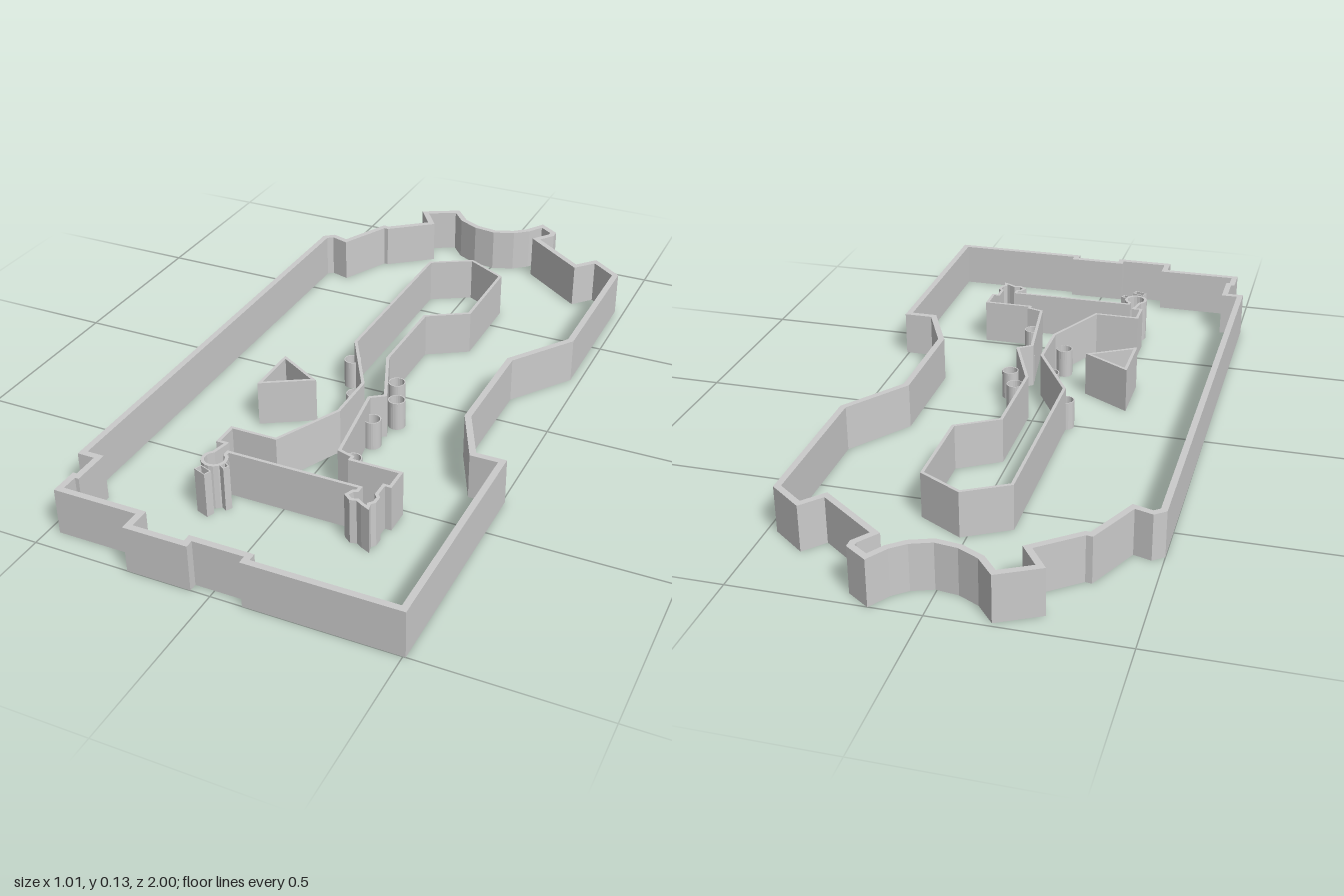
import * as THREE from 'three';

const HEIGHT = 0.132;
const material = new THREE.MeshStandardMaterial({ color: 0xcccccc, flatShading: true });

// Shift a closed outline sideways by d, with mitred corners (positive d = outwards)
function offsetOutline(points, d) {
  const s = Math.sign(THREE.ShapeUtils.area(points)) * d;
  const n = points.length;
  const normal = (a, b) => new THREE.Vector2(b.y - a.y, a.x - b.x).normalize();
  return points.map((p, i) => {
    const n1 = normal(points[(i + n - 1) % n], p);
    const n2 = normal(p, points[(i + 1) % n]);
    const k = s / Math.max(0.3, 1 + n1.dot(n2));
    return p.clone().addScaledVector(n1.add(n2), k);
  });
}

// Upright wall of even thickness that follows a closed [x, z] plan line
function wall(name, plan, thickness, height = HEIGHT) {
  const line = plan.map(([x, z]) => new THREE.Vector2(x, z));
  const shape = new THREE.Shape(offsetOutline(line, thickness / 2));
  // The hole runs the other way round so its faces look into the opening
  shape.holes.push(new THREE.Path(offsetOutline(line, -thickness / 2).reverse()));
  const geometry = new THREE.ExtrudeGeometry(shape, { depth: height, bevelEnabled: false });
  geometry.rotateX(Math.PI / 2).translate(0, height, 0);
  const mesh = new THREE.Mesh(geometry, material);
  mesh.name = name;
  return mesh;
}

// Plan points along an arc
function arc(cx, cz, radius, start, sweep, count) {
  return Array.from({ length: count }, (_, i) => {
    const a = start + (sweep * i) / count;
    return [cx + radius * Math.cos(a), cz + radius * Math.sin(a)];
  });
}

export function createModel() {
  const model = new THREE.Group();
  model.name = 'wallLayout';

  // Outer boundary, from the front right corner round the back
  model.add(wall('outerWall', [
    [0.498, 0.991], [0.498, 0.368], [0.417, 0.368], [0.34, 0.207], [0.34, -0.117],
    [0.464, -0.293], [0.464, -0.742], [0.38, -0.807], [0.33, -0.751], [0.152, -0.886],
    [0.188, -0.935], [0.188, -0.953], [0.138, -0.988], [0.105, -0.938], [0.065, -0.905],
    [0.005, -0.883], [-0.06, -0.892], [-0.12, -0.923], [-0.165, -0.977], [-0.262, -0.926],
    [-0.212, -0.855], [-0.33, -0.762], [-0.345, -0.764], [-0.416, -0.614], [-0.468, -0.63],
    [-0.491, -0.612], [-0.498, 0.775], [-0.449, 0.775], [-0.449, 0.868], [-0.46, 0.868],
    [-0.46, 0.932], [-0.222, 0.932], [-0.222, 0.991], [-0.062, 0.991], [-0.062, 0.968],
    [0.096, 0.968], [0.096, 0.991],
  ], 0.018));

  // Inner wall: long head, narrow waist, wide foot with a pocket at each end
  model.add(wall('innerWall', [
    [0.017, -0.652], [0.136, -0.585], [0.136, -0.323], [0.02, -0.252], [0.02, 0.018],
    [0.097, 0.204], [0.06, 0.231], [0.098, 0.493], [0.141, 0.506], [0.141, 0.52],
    [0.283, 0.52], [0.283, 0.585], [0.265, 0.585], [0.265, 0.628], [0.274, 0.638],
    [0.274, 0.659], [0.264, 0.671], [0.268, 0.687], [0.25, 0.679], [0.232, 0.668],
    [0.215, 0.673], [0.197, 0.659], [0.206, 0.639], [0.216, 0.635], [0.216, 0.618],
    [-0.16, 0.618], ...arc(-0.176, 0.659, 0.031, -1.03, 5.51, 15),
    [-0.183, 0.585], [-0.207, 0.585], [-0.207, 0.515], [-0.076, 0.515],
    [0.014, 0.325], [0.014, 0.172], [-0.102, -0.028], [-0.102, -0.585],
  ], 0.009));

  // Separate three-sided wall
  model.add(wall('triangleWall',
    [[-0.246, 0.138], [-0.119, 0.213], [-0.246, 0.288]], 0.009, 0.133));

  // Short thin-walled tubes along the waist
  [[-0.102, -0.005], [-0.017, 0.16], [0.067, 0.058], [0.104, 0.143],
    [0.083, 0.26], [-0.017, 0.333], [0.115, 0.45]].forEach(([x, z]) => {
    model.add(wall('post', arc(x, z, 0.023, 0, Math.PI * 2, 24), 0.003, 0.085));
  });

  // Small slanted box sleeves beside the round pocket
  [[-0.178, 0.715, 0.036, 0.02, -0.35], [-0.138, 0.676, 0.018, 0.016, -0.5]].forEach(
    ([x, z, w, d, turn]) => {
      const sleeve = wall('sleeve',
        [[-w / 2, -d / 2], [w / 2, -d / 2], [w / 2, d / 2], [-w / 2, d / 2]], 0.003);
      sleeve.position.set(x, 0, z);
      sleeve.rotation.y = turn;
      model.add(sleeve);
    });

  return model;
}
